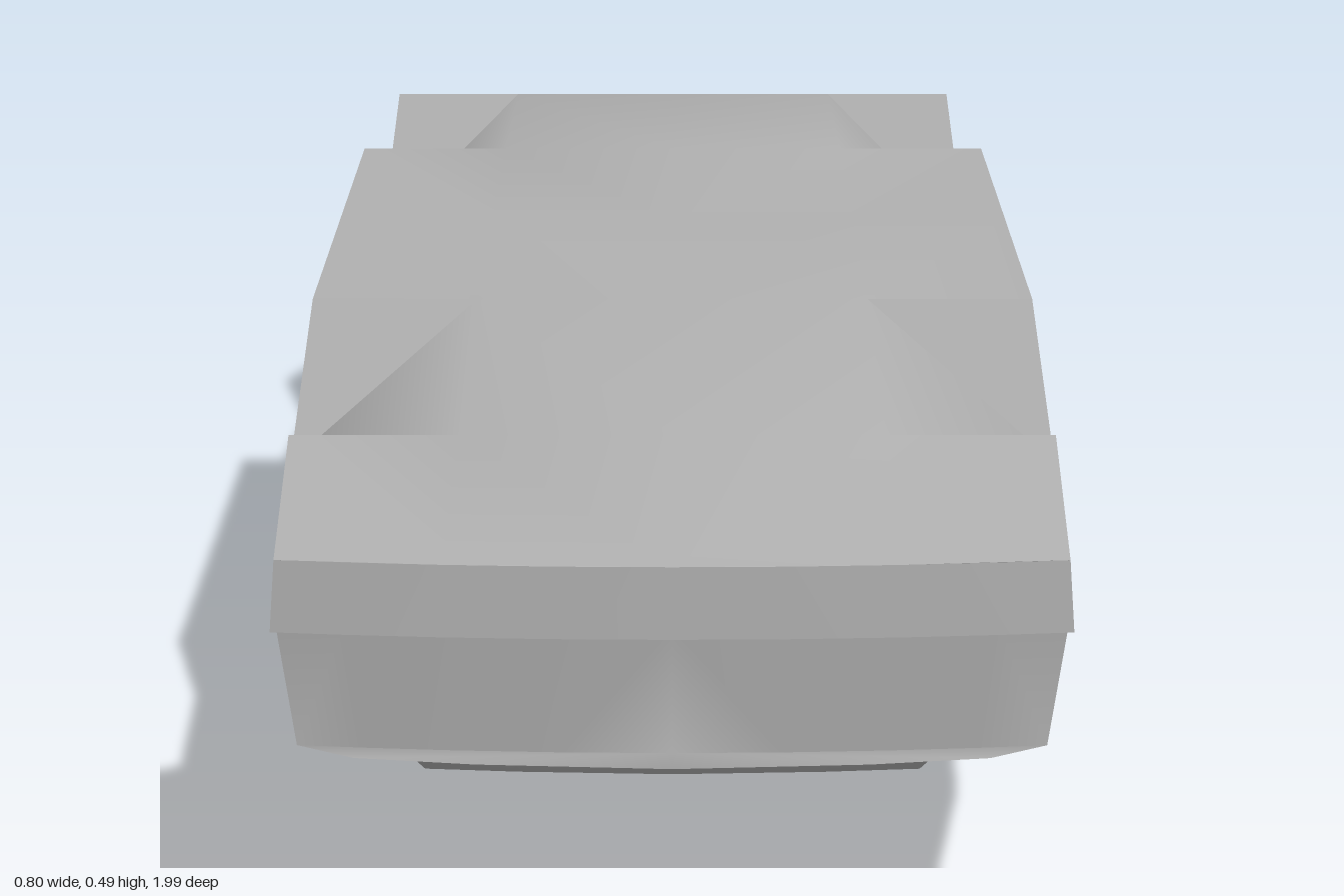
import * as THREE from 'three';
import { toCreasedNormals } from 'three/addons/utils/BufferGeometryUtils.js';

// Overturned car shell: each station lists points on the +x half as [x, y, z]:
// sill edge, widest line, tuck below it, belt, cabin or hood edge, then the centre height.
const STATIONS = [
  { sill: [0.34, 0.42, 0.975], wide: [0.345, 0.355, 0.975], tuck: [0.345, 0.35, 0.93], belt: [0.33, 0.23, 0.915], edge: [0.28, 0.22], mid: 0.215, bulge: 0.02 },
  { sill: [0.35, 0.455, 0.71], wide: [0.372, 0.335, 0.6], belt: [0.37, 0.215, 0.6], edge: [0.31, 0.195], mid: 0.18 },
  { sill: [0.36, 0.485, 0.32], wide: [0.38, 0.335, 0.39], belt: [0.378, 0.21, 0.41], edge: [0.25, 0.018], mid: 0.012 },
  { sill: [0.36, 0.485, -0.03], wide: [0.4, 0.33, 0], belt: [0.38, 0.205, -0.07], edge: [0.25, 0.016], mid: 0 },
  { sill: [0.36, 0.485, -0.4], wide: [0.378, 0.31, -0.52], belt: [0.375, 0.2, -0.31], edge: [0.31, 0.185], mid: 0.17 },
  { sill: [0.345, 0.47, -0.8], wide: [0.365, 0.31, -0.72], belt: [0.357, 0.215, -0.7], edge: [0.3, 0.19], mid: 0.18 },
  { sill: [0.335, 0.408, -0.95], wide: [0.345, 0.355, -0.95], tuck: [0.345, 0.35, -0.895], belt: [0.335, 0.23, -0.925], edge: [0.28, 0.225], mid: 0.222, bulge: -0.048 },
];
const INNER = 0.195; // inner edge of the wheel wells

const bow = (s, p, x) => p[2] + (s.bulge || 0) * (1 - (x / p[0]) ** 2);

function halfRing(s) {
  const { sill, wide, belt, edge, mid } = s;
  const tuck = s.tuck || wide.map((v, k) => v + (belt[k] - v) * 0.5);
  const halfX = edge[0] * 0.62;
  return [
    [0, sill[1], bow(s, sill, 0)],
    [INNER, sill[1], bow(s, sill, INNER)],
    sill, wide, tuck, belt,
    [edge[0], edge[1], bow(s, belt, edge[0])],
    [halfX, mid + (edge[1] - mid) * 0.45, bow(s, belt, halfX)],
    [0, mid, bow(s, belt, 0)],
  ];
}

function shellGeometry() {
  const pos = [];
  const tri = (a, b, c) => {
    pos.push(...a, ...b, ...c);
    for (const p of [a, c, b]) pos.push(-p[0], p[1], p[2]); // mirrored side
  };
  const quad = (a, b, c, d) => { tri(a, b, c); tri(a, c, d); };
  const rings = STATIONS.map(halfRing);

  for (let i = 0; i < rings.length - 1; i++) {
    const p = rings[i], q = rings[i + 1];
    const well = i === 1 || i === 4;
    for (let j = 0; j < p.length - 1; j++) {
      if (well && (j === 1 || j === 2)) continue;
      quad(p[j], p[j + 1], q[j + 1], q[j]);
    }
    if (well) { // sloping wheel well with a triangular wall at each end
      quad(p[1], p[3], q[3], q[1]);
      tri(p[1], p[2], p[3]);
      tri(q[3], q[2], q[1]);
    }
  }

  // Nose and tail: a bumper lip above a recessed panel
  for (const i of [0, rings.length - 1]) {
    const s = STATIONS[i];
    const rows = [s.sill, s.wide, s.tuck, s.belt];
    const at = (p, t) => [p[0] * t, p[1], p[2] + s.bulge * (1 - t * t)];
    const cols = [0, 0.3, 0.58, 0.82, 1];
    for (let r = 0; r < 3; r++) {
      for (let c = 0; c < cols.length - 1; c++) {
        const f = [at(rows[r], cols[c]), at(rows[r + 1], cols[c]), at(rows[r + 1], cols[c + 1]), at(rows[r], cols[c + 1])];
        quad(...(i === 0 ? f : f.reverse()));
      }
    }
    // sliver joining the panel to the hood or boot edge
    const ring = rings[i], low = [[0, s.belt[1], bow(s, s.belt, 0)], ring[8], ring[7], ring[6], s.belt];
    for (let k = 1; k < low.length - 1; k++) {
      const f = [low[0], low[k], low[k + 1]];
      tri(...(i === 0 ? f : f.reverse()));
    }
  }

  const geo = new THREE.BufferGeometry();
  geo.setAttribute('position', new THREE.Float32BufferAttribute(pos, 3));
  return toCreasedNormals(geo, 0.85);
}

export function createModel() {
  const group = new THREE.Group();
  group.name = 'overturnedCarShell';
  const grey = new THREE.MeshStandardMaterial({ color: 0xb0b0b0, side: THREE.DoubleSide });
  grey.name = 'plain grey';

  const body = new THREE.Mesh(shellGeometry(), grey);
  body.name = 'bodyShell';
  group.add(body);

  // Single side mirror: a short tapered block lying along x
  const mirrorGeo = toCreasedNormals(new THREE.CylinderGeometry(0.021, 0.028, 0.075, 6).toNonIndexed(), 0.5);
  const mirror = new THREE.Mesh(mirrorGeo, grey);
  mirror.name = 'sideMirror';
  mirror.rotation.z = Math.PI / 2;
  mirror.position.set(0.359, 0.164, -0.17);
  group.add(mirror);
  return group;
}
